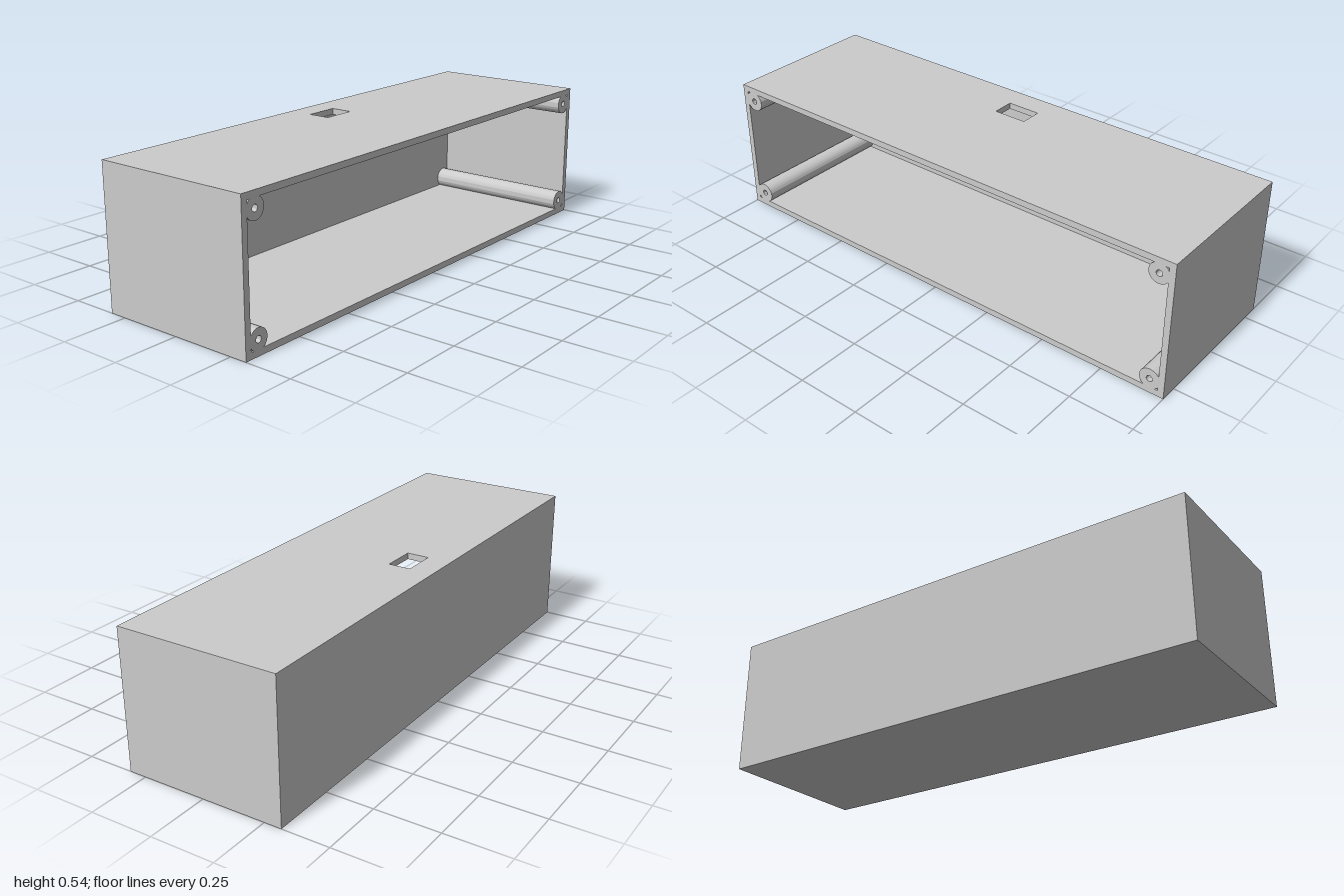
import * as THREE from 'three';
import { toCreasedNormals } from 'three/addons/utils/BufferGeometryUtils.js';

const W = 2, H = 0.543, D = 0.634, T = 0.024; // outer size and wall thickness
const material = new THREE.MeshStandardMaterial({ color: 0xcccccc });

export function createModel() {
  const group = new THREE.Group();
  const add = (name, geometry, x, y, z) => {
    const mesh = new THREE.Mesh(geometry, material);
    mesh.name = name;
    mesh.position.set(x, y, z);
    group.add(mesh);
    return mesh;
  };
  const rect = (C, x0, y0, x1, y1) => {
    const p = new C();
    p.moveTo(x0, y0).lineTo(x1, y0).lineTo(x1, y1).lineTo(x0, y1).closePath();
    return p;
  };

  // Top wall with a rectangular slot near the back (shape y becomes -z)
  const top = rect(THREE.Shape, -W / 2, -D / 2, W / 2, D / 2);
  top.holes.push(rect(THREE.Path, -0.068, 0.135, 0.066, 0.222));
  const topGeometry = new THREE.ExtrudeGeometry(top, { depth: T, bevelEnabled: false });
  topGeometry.rotateX(-Math.PI / 2);
  add('topWall', topGeometry, 0, H - T, 0);

  // Bottom, back and side walls; the front stays open
  const innerH = H - 2 * T;
  add('bottomWall', new THREE.BoxGeometry(W, T, D), 0, T / 2, 0);
  add('backWall', new THREE.BoxGeometry(W, innerH, T), 0, H / 2, -D / 2 + T / 2);
  for (const s of [-1, 1]) {
    add(s > 0 ? 'leftWall' : 'rightWall', new THREE.BoxGeometry(T, innerH, D - T),
      s * (W - T) / 2, H / 2, T / 2);
  }

  // Screw posts running from the back wall to the front rim, with a pilot hole
  const post = new THREE.Shape().absarc(0, 0, 0.04, 0, Math.PI * 2);
  post.holes.push(new THREE.Path().absarc(0, 0, 0.012, 0, Math.PI * 2, true));
  const postGeometry = toCreasedNormals(
    new THREE.ExtrudeGeometry(post, { depth: D - T, bevelEnabled: false, curveSegments: 32 }), 0.6);
  const inset = 0.058;
  for (const sx of [-1, 1]) {
    for (const y of [inset, H - inset]) {
      add('screwPost', postGeometry, sx * (W / 2 - inset), y, -D / 2 + T);
    }
  }
  return group;
}
